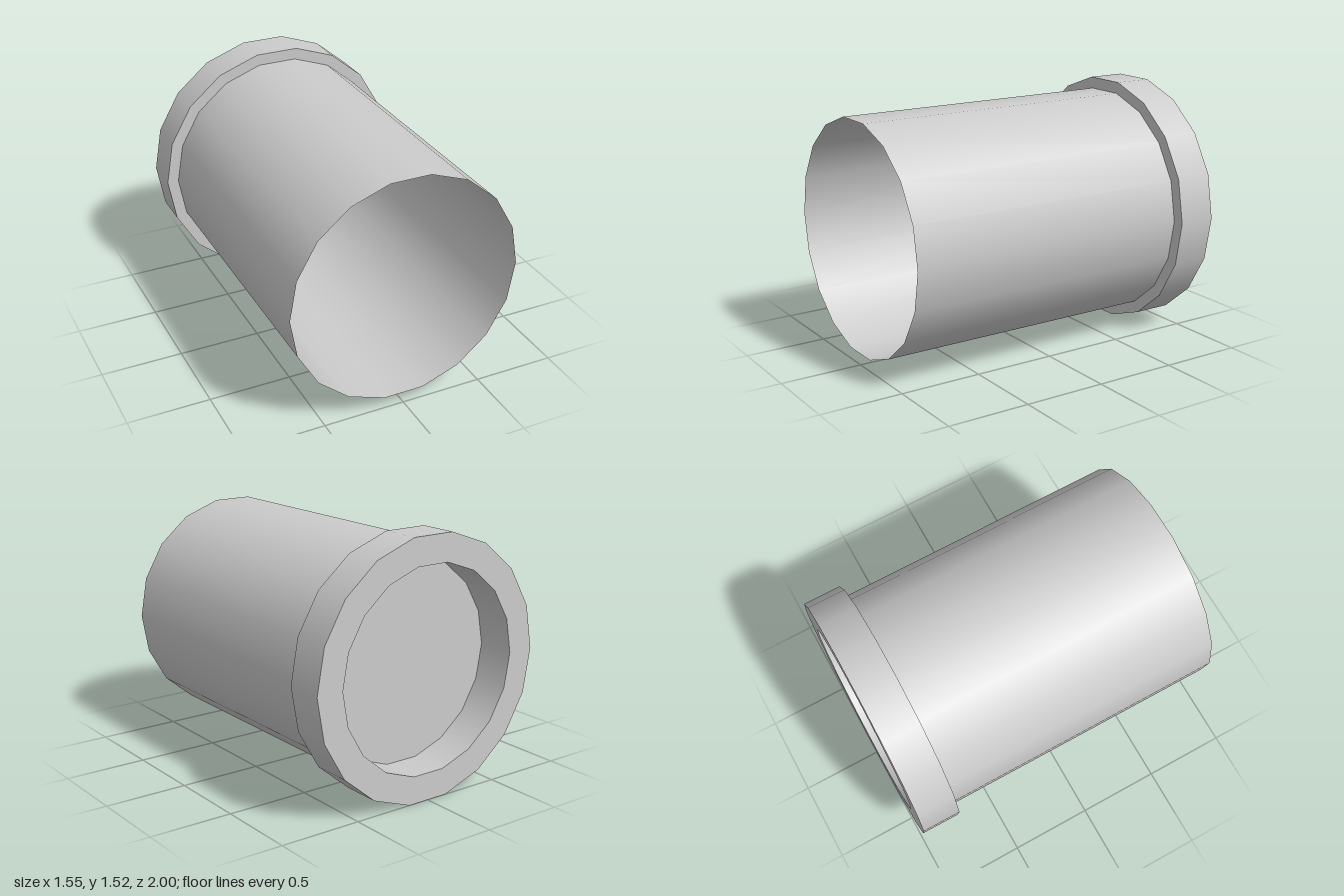
import * as THREE from 'three';

const SIDES = 18;
const TUBE_R = 0.703, RIM_R = 0.774, HOLE_R = 0.607;
const FRONT = 1, STEP = -0.765, BACK = -1;

export function createModel() {
  const group = new THREE.Group();
  const material = new THREE.MeshStandardMaterial({ color: 0xcccccc, side: THREE.DoubleSide });

  const add = (name, geometry, z) => {
    const mesh = new THREE.Mesh(geometry, material);
    mesh.name = name;
    mesh.position.set(0, RIM_R * Math.cos(Math.PI / SIDES), z);
    group.add(mesh);
    return mesh;
  };

  // Open wall along z, with a corner pointing at +x
  const wall = (name, r, z0, z1) => add(
    name,
    new THREE.CylinderGeometry(r, r, z1 - z0, SIDES, 1, true, Math.PI / 2).rotateX(Math.PI / 2),
    (z0 + z1) / 2
  );

  // Flat annulus facing front, or back when flipped
  const annulus = (name, inner, outer, z, flip) => {
    const geometry = new THREE.RingGeometry(inner, outer, SIDES);
    if (flip) geometry.rotateY(Math.PI);
    return add(name, geometry, z);
  };

  // Thin tube, open at the front
  wall('tubeWall', TUBE_R, STEP, FRONT);

  // Thick rim around the back end
  wall('rimOuterWall', RIM_R, BACK, STEP);
  wall('rimInnerWall', HOLE_R, BACK, STEP);
  annulus('rimFrontFace', HOLE_R, RIM_R, STEP, false);
  annulus('rimBackFace', HOLE_R, RIM_R, BACK, true);

  // Recessed disc closing the tube
  add('endDisc', new THREE.CircleGeometry(HOLE_R, SIDES).rotateY(Math.PI), STEP);

  return group;
}
